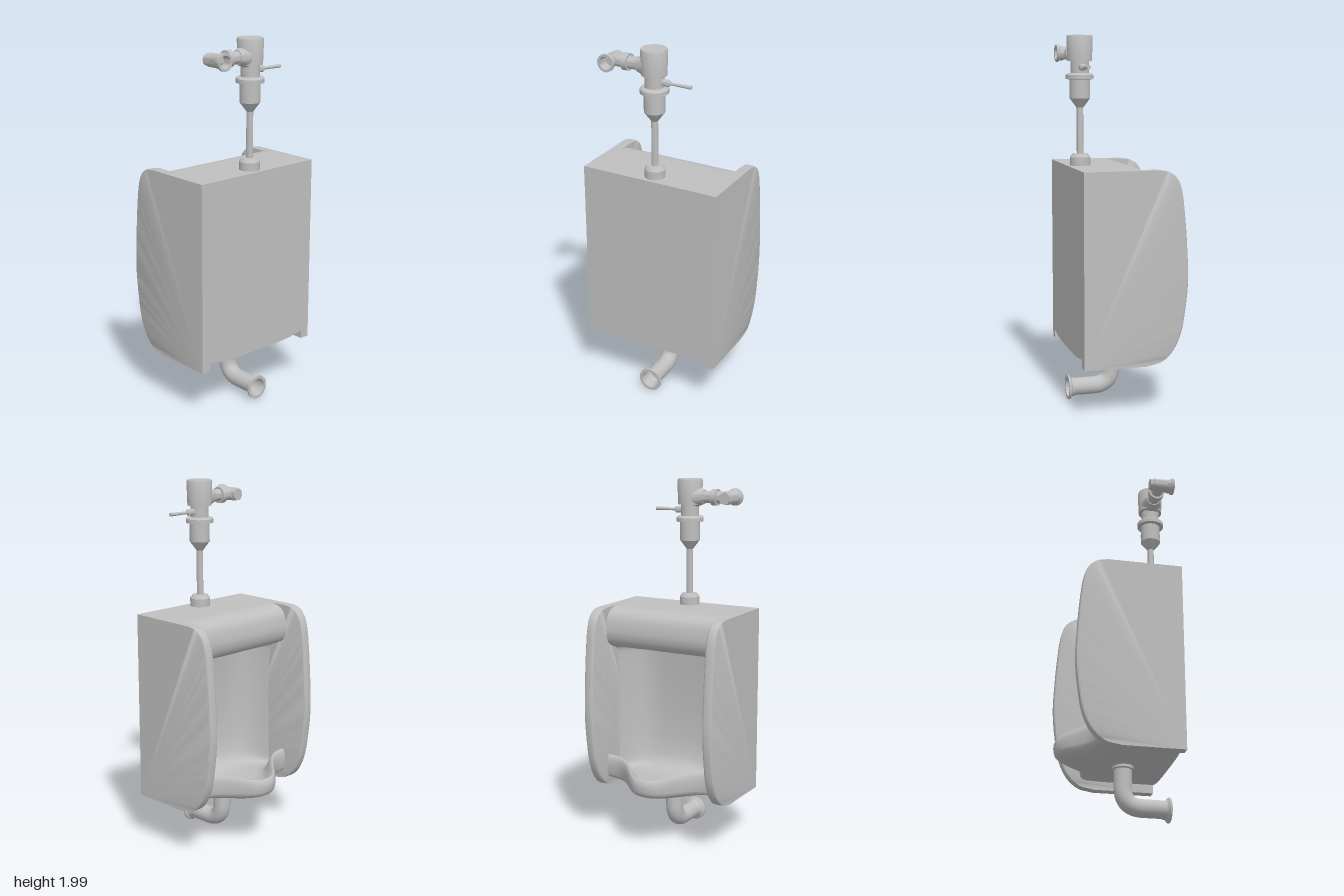
import * as THREE from 'three';
import { toCreasedNormals } from 'three/addons/utils/BufferGeometryUtils.js';

export function createModel() {
  const group = new THREE.Group();
  const grey = new THREE.MeshStandardMaterial({ color: 0xbfbfbf });
  grey.name = 'porcelain grey';

  const add = (name, geo, crease = 0.6) => {
    const mesh = new THREE.Mesh(crease ? toCreasedNormals(geo, crease) : geo, grey);
    mesh.name = name;
    group.add(mesh);
    return mesh;
  };

  // Smooth curve through [z, y] points, returned as [z, y] samples
  const smooth = (pts, n) =>
    new THREE.CatmullRomCurve3(pts.map(([z, y]) => new THREE.Vector3(0, y, z)), false, 'centripetal')
      .getPoints(n).map((p) => [p.z, p.y]);

  // Skin of closed side sections placed along x, optionally capped at both ends
  const loft = (xs, section, caps) => {
    const pos = [], idx = [];
    let n = 0;
    for (const x of xs) {
      const s = section(x);
      n = s.length;
      for (const [z, y] of s) pos.push(x, y, z);
    }
    for (let i = 0; i < xs.length - 1; i++) {
      for (let j = 0; j < n; j++) {
        const a = i * n + j, b = i * n + (j + 1) % n;
        idx.push(a, b, a + n, b, b + n, a + n);
      }
    }
    if (caps) {
      const e = (xs.length - 1) * n;
      for (let j = 1; j < n - 1; j++) idx.push(0, j + 1, j, e, e + j, e + j + 1);
    }
    const geo = new THREE.BufferGeometry();
    geo.setAttribute('position', new THREE.Float32BufferAttribute(pos, 3));
    geo.setIndex(idx);
    geo.computeVertexNormals();
    return geo;
  };

  // Body: underside, flared lip, basin, hollow back wall and rounded top in one skin
  const half = 0.345;
  const bodySection = (x) => {
    const t = Math.abs(x) / half;
    const g = Math.exp(-Math.pow(Math.abs(x) / 0.175, 2.4));
    const zo = -0.112 - 0.198 * g;              // lip front
    const zb = 0.16 * (1 - Math.pow(t, 5));     // hollow back
    const h = 0.42 + 0.04 * (1 - g);            // lip height
    const b = 0.295 + 0.025 * Math.pow(t, 4);   // underside
    const inner = (f) => zo + 0.035 + f * (zb - zo - 0.035);
    return smooth([
      [0.3, b], [0.12, b], [zo + 0.11, b], [zo + 0.012, 0.33], [zo, 0.36], [zo, h - 0.025],
      [zo + 0.015, h], [zo + 0.035, h - 0.012], [inner(0.15), 0.37], [inner(0.4), 0.35],
      [inner(0.85), 0.36], [zb, 0.43], [zb, 1.0], [zb - 0.015, 1.06], [-0.045, 1.08],
      [-0.09, 1.105], [-0.11, 1.15], [-0.11, 1.2], [-0.09, 1.265], [-0.04, 1.298],
      [0.05, 1.305], [0.3, 1.305],
    ], 88);
  };
  const bodyXs = Array.from({ length: 49 }, (_, i) => -half + (2 * half * i) / 48);
  add('body', loft(bodyXs, bodySection, false), 0.9);

  // Side wings with softly rounded front edges
  const wing = [[0.3, 0.27], ...smooth([
    [-0.03, 0.27], [-0.12, 0.29], [-0.18, 0.34], [-0.225, 0.43], [-0.25, 0.56], [-0.265, 0.72],
    [-0.26, 0.87], [-0.245, 1.07], [-0.225, 1.21], [-0.2, 1.265], [-0.16, 1.295], [-0.1, 1.305],
  ], 44), [0.3, 1.305]];
  const r = 0.014, x0 = 0.34, x1 = 0.395;
  const steps = [0, 0.12, 0.35, 0.65, 1].map((f) => f * r);
  const wingXs = [...steps.map((s) => x0 + s), ...steps.map((s) => x1 - s).reverse()];
  const wingSection = (x) => {
    const d = r - Math.min(r, Math.abs(x) - x0, x1 - Math.abs(x));
    const inset = r - Math.sqrt(Math.max(0, r * r - d * d));
    return wing.map(([z, y]) => [z + inset * THREE.MathUtils.clamp((-0.1 - z) / 0.1, 0, 1), y]);
  };
  add('leftWing', loft(wingXs, wingSection, true), 0.7);
  add('rightWing', loft(wingXs.map((x) => -x).reverse(), wingSection, true), 0.7);

  // Drain cover in the basin
  const drain = add('drainCover', new THREE.SphereGeometry(1, 24, 12), 0);
  drain.scale.set(0.037, 0.014, 0.05);
  drain.position.set(0, 0.356, -0.19);

  // Turned part: profile of [radius, distance] along the chosen axis
  const turned = (name, axis, pts, [x, y, z]) => {
    const geo = new THREE.LatheGeometry(pts.map(([a, b]) => new THREE.Vector2(a, b)), 24);
    if (axis === 'x') geo.rotateZ(-Math.PI / 2);
    if (axis === 'z') geo.rotateX(Math.PI / 2);
    add(name, geo).position.set(x, y, z);
  };
  const vz = 0.226;

  // Upright supply: spud, riser pipe and flush valve
  turned('spud', 'y', [[0.055, 1.3], [0.055, 1.35], [0.042, 1.368], [0, 1.37]], [0, 0, vz]);
  turned('riserPipe', 'y', [[0.018, 1.36], [0.018, 1.63]], [0, 0, vz]);
  turned('valveBody', 'y', [
    [0.018, 1.615], [0.055, 1.665], [0.055, 1.765], [0.075, 1.768], [0.075, 1.79], [0.068, 1.797],
    [0.05, 1.8], [0.05, 1.865],
  ], [0, 0, vz]);
  turned('valveCap', 'y', [[0, 1.862], [0.066, 1.862], [0.07, 1.99], [0.066, 2], [0, 2]], [0, 0, vz]);

  // Flush lever
  turned('leverSocket', 'x', [[0.018, 0.04], [0.018, 0.085], [0.01, 0.093], [0, 0.093]], [0, 1.83, vz]);
  turned('lever', 'x', [[0.007, 0.08], [0.01, 0.213], [0, 0.215]], [0, 1.83, vz]);

  // Side inlet with union ring, stop and open wall flange
  turned('inletPipe', 'x', [
    [0.033, -0.24], [0.033, -0.173], [0.045, -0.173], [0.045, -0.142], [0.033, -0.142],
    [0.033, -0.092], [0.038, -0.092], [0.058, -0.04],
  ], [0, 1.905, vz]);
  turned('inletStop', 'z', [
    [0, 0.168], [0.032, 0.168], [0.032, 0.187], [0.036, 0.189], [0.036, 0.262], [0.039, 0.267],
    [0.039, 0.285], [0.047, 0.292], [0.047, 0.305], [0.034, 0.305], [0.03, 0.25], [0, 0.25],
  ], [-0.24, 1.905, 0]);

  // Waste pipe: down, round the bend and out to the wall
  const path = new THREE.CurvePath();
  const v = (y, z) => new THREE.Vector3(0, y, z);
  path.add(new THREE.LineCurve3(v(0.32, 0.056), v(0.18, 0.056)));
  path.add(new THREE.CubicBezierCurve3(v(0.18, 0.056), v(0.11, 0.056), v(0.075, 0.09), v(0.075, 0.16)));
  path.add(new THREE.LineCurve3(v(0.075, 0.16), v(0.075, 0.29)));
  add('wastePipe', new THREE.TubeGeometry(path, 40, 0.048, 24, false), 0);
  turned('wasteFlange', 'z', [
    [0.048, 0.265], [0.053, 0.285], [0.067, 0.295], [0.067, 0.305], [0.05, 0.305], [0.045, 0.22], [0, 0.22],
  ], [0, 0.073, 0]);
  turned('wasteCollar', 'y', [[0.048, 0.275], [0.056, 0.28], [0.056, 0.3]], [0, 0, 0.056]);

  return group;
}
